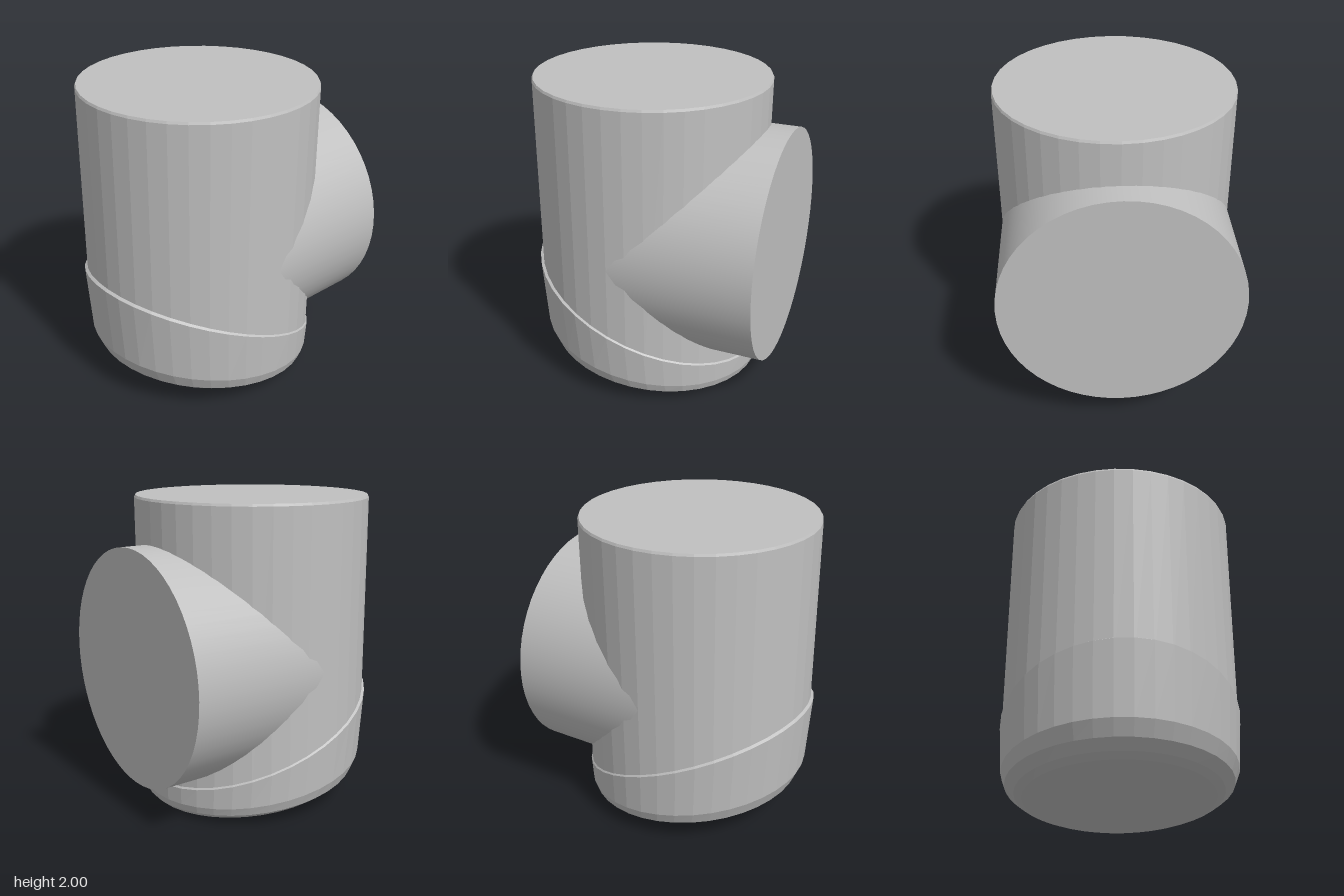
import * as THREE from 'three';

const SIDES = 40;

// Closed loft through slanted elliptical rings, listed bottom to top.
// Each ring: [half width, front z, front y, back z, back y]
function loft(rings) {
  const pos = [], idx = [];
  for (const [rx, zf, yf, zb, yb] of rings) {
    for (let j = 0; j < SIDES; j++) {
      const a = (j / SIDES) * Math.PI * 2, c = Math.cos(a);
      pos.push(rx * Math.sin(a), (yf + yb) / 2 + ((yf - yb) / 2) * c, (zf + zb) / 2 + ((zf - zb) / 2) * c);
    }
  }
  for (let i = 0; i < rings.length - 1; i++) {
    for (let j = 0; j < SIDES; j++) {
      const k = (j + 1) % SIDES, a = i * SIDES, b = a + SIDES;
      idx.push(a + j, a + k, b + k, a + j, b + k, b + j);
    }
  }
  // flat ends
  const t = (rings.length - 1) * SIDES;
  for (let j = 1; j < SIDES - 1; j++) idx.push(0, j + 1, j, t, t + j, t + j + 1);
  const g = new THREE.BufferGeometry();
  g.setAttribute('position', new THREE.Float32BufferAttribute(pos, 3));
  g.setIndex(idx);
  const flat = g.toNonIndexed();
  flat.computeVertexNormals();
  return flat;
}

export function createModel() {
  const group = new THREE.Group();
  const grey = new THREE.MeshStandardMaterial({ color: 0xc0c0c0 });
  grey.name = 'grey';
  const add = (name, geometry) => {
    const mesh = new THREE.Mesh(geometry, grey);
    mesh.name = name;
    group.add(mesh);
    return mesh;
  };

  // Upright pipe, cut on a slant where it enters the base cap
  add('uprightPipe', loft([
    [0.755, 0.82, 0.65, -0.685, 0.15],
    [0.755, 0.82, 1.985, -0.69, 1.985],
    [0.748, 0.813, 2, -0.683, 2],
  ]));

  // Slanted base cap with a rounded lower edge
  add('baseCap', loft([
    [0.61, 0.64, 0.12, -0.61, 0.003],
    [0.66, 0.7, 0.15, -0.645, 0.015],
    [0.72, 0.765, 0.21, -0.675, 0.045],
    [0.747, 0.807, 0.31, -0.69, 0.09],
    [0.766, 0.84, 0.785, -0.695, 0.19],
    [0.752, 0.822, 0.795, -0.686, 0.2],
  ]));

  // Branch pipe running out of the back
  const branch = new THREE.CylinderGeometry(0.755, 0.755, 0.91, 56);
  branch.rotateX(Math.PI / 2);
  add('branchPipe', branch).position.set(0, 0.965, -0.39);

  return group;
}
